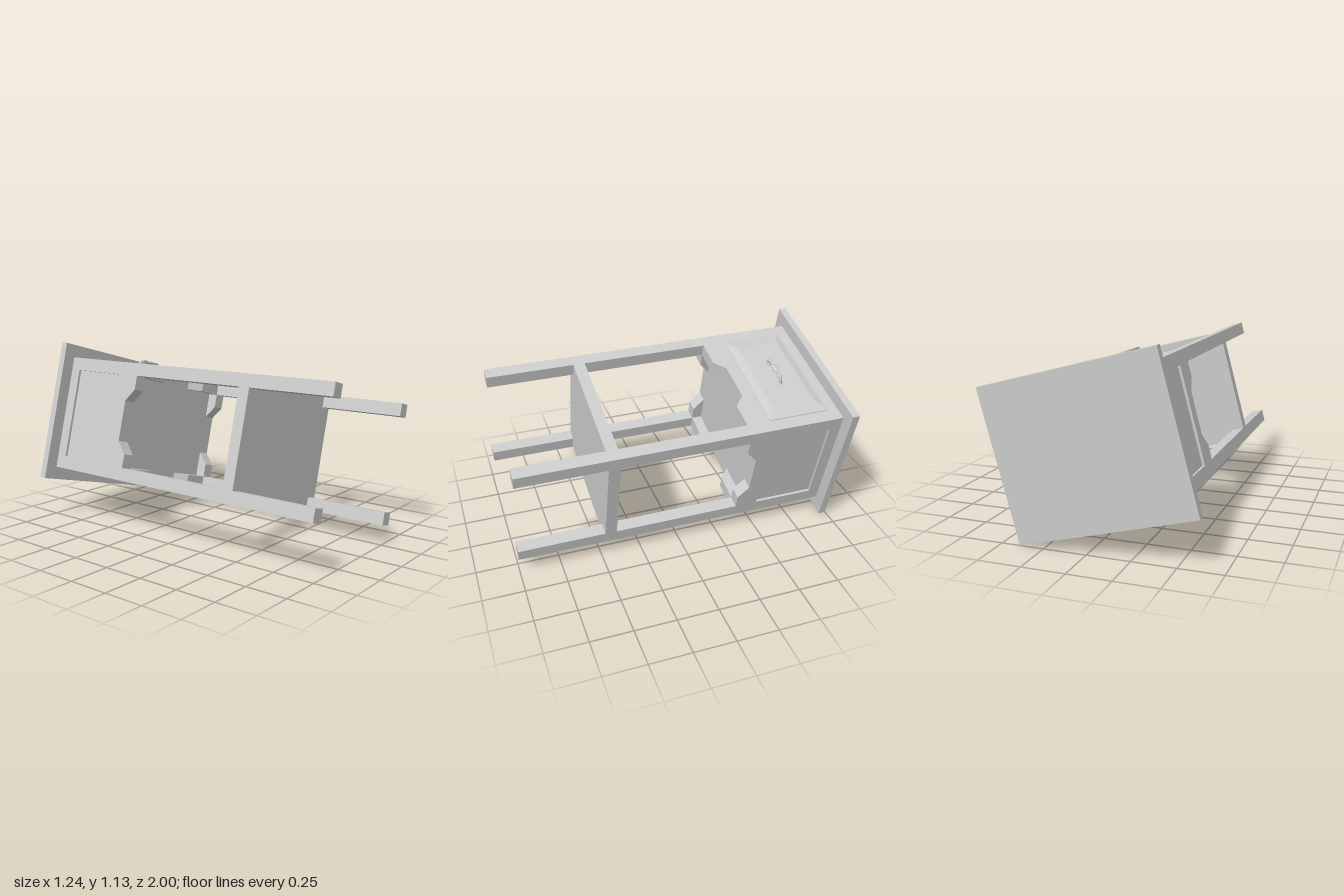
import * as THREE from 'three';
import { ConvexGeometry } from 'three/addons/geometries/ConvexGeometry.js';

const W = 0.885, D = 0.724;      // outer width and depth over the legs
const LEG = 0.077;               // leg section
const APRON = 0.37, NOTCH = 0.435, TOP = 0.955;   // heights, floor at -1

export function createModel() {
  const model = new THREE.Group();
  const table = new THREE.Group();
  table.name = 'sideTable';
  model.add(table);
  const mat = new THREE.MeshStandardMaterial({ color: 0xcccccc });

  const add = (name, geo, x = 0, y = 0, z = 0, parent = table) => {
    const mesh = new THREE.Mesh(geo, mat);
    mesh.name = name;
    mesh.position.set(x, y, z);
    parent.add(mesh);
    return mesh;
  };
  const box = (name, w, d, y0, y1, x = 0, z = 0) =>
    add(name, new THREE.BoxGeometry(w, y1 - y0, d), x, (y0 + y1) / 2, z);

  // Top board, shelf and inner carcass
  box('tabletop', 1.045, 0.885, TOP, 1);
  box('shelf', W, D, -0.475, -0.405);
  box('carcass', W - 0.03, D - 2 * LEG + 0.02, NOTCH, TOP);

  // Four square legs
  for (const sx of [-1, 1]) for (const sz of [-1, 1])
    box('leg', LEG, LEG, -1, TOP, sx * (W - LEG) / 2, sz * (D - LEG) / 2);

  // Apron panels with a notched lower edge; the side ones have a sunk field
  const apron = (name, width, offset, angle, sunk) => {
    const h = width / 2;
    const shape = new THREE.Shape([
      [-h, APRON], [-0.2, APRON], [-0.125, NOTCH], [0.125, NOTCH],
      [0.2, APRON], [h, APRON], [h, TOP], [-h, TOP],
    ].map(p => new THREE.Vector2(...p)));
    if (sunk) {
      const e = h - 0.002;
      shape.holes.push(new THREE.Path([
        [-e, 0.51], [-e, 0.885], [e, 0.885], [e, 0.51],
      ].map(p => new THREE.Vector2(...p))));
    }
    const geo = new THREE.ExtrudeGeometry(shape, { depth: LEG, bevelEnabled: false });
    geo.translate(0, 0, offset - LEG).rotateY(angle);
    add(name, geo);
  };
  apron('frontApron', W - 2 * LEG, D / 2, 0, false);
  apron('backApron', W - 2 * LEG, D / 2, Math.PI, false);
  apron('leftApron', D - 2 * LEG, W / 2, Math.PI / 2, true);
  apron('rightApron', D - 2 * LEG, W / 2, -Math.PI / 2, true);

  // Drawer front: raised field with sloping borders
  const points = [];
  for (const [hx, hy, z] of [[0.366, 0.19, -0.005], [0.362, 0.186, 0.005], [0.275, 0.135, 0.019]])
    for (const sx of [-1, 1]) for (const sy of [-1, 1])
      points.push(new THREE.Vector3(sx * hx, sy * hy, z));
  add('drawerFront', new ConvexGeometry(points), 0, 0.7, D / 2);

  // Bail handle: bent bar, swollen grip and two feet
  const handle = new THREE.Group();
  handle.name = 'drawerHandle';
  handle.position.set(0, 0.695, D / 2 + 0.017);
  table.add(handle);
  const path = new THREE.CatmullRomCurve3([
    [-0.093, 0], [-0.092, 0.025], [-0.078, 0.041], [0, 0.043],
    [0.078, 0.041], [0.092, 0.025], [0.093, 0],
  ].map(([x, z]) => new THREE.Vector3(x, 0, z)));
  add('handleBar', new THREE.TubeGeometry(path, 40, 0.009, 10), 0, 0, 0, handle);
  const grip = add('handleGrip', new THREE.SphereGeometry(1, 20, 12), 0, 0, 0.042, handle);
  grip.scale.set(0.04, 0.017, 0.012);
  for (const s of [-1, 1]) {
    const foot = new THREE.CylinderGeometry(0.012, 0.021, 0.016, 16).rotateX(Math.PI / 2);
    add('handleFoot', foot, s * 0.088, 0, 0.007, handle);
    const collar = add('handleCollar', new THREE.SphereGeometry(0.013, 14, 10), s * 0.075, 0, 0.04, handle);
    collar.scale.set(0.6, 1.1, 0.95);
  }

  // The table lies on its side: legs point forward, turned about its long axis
  table.rotation.set(-Math.PI / 2, 0, -Math.PI / 12, 'ZYX');
  table.position.y = 0.563;
  return model;
}
